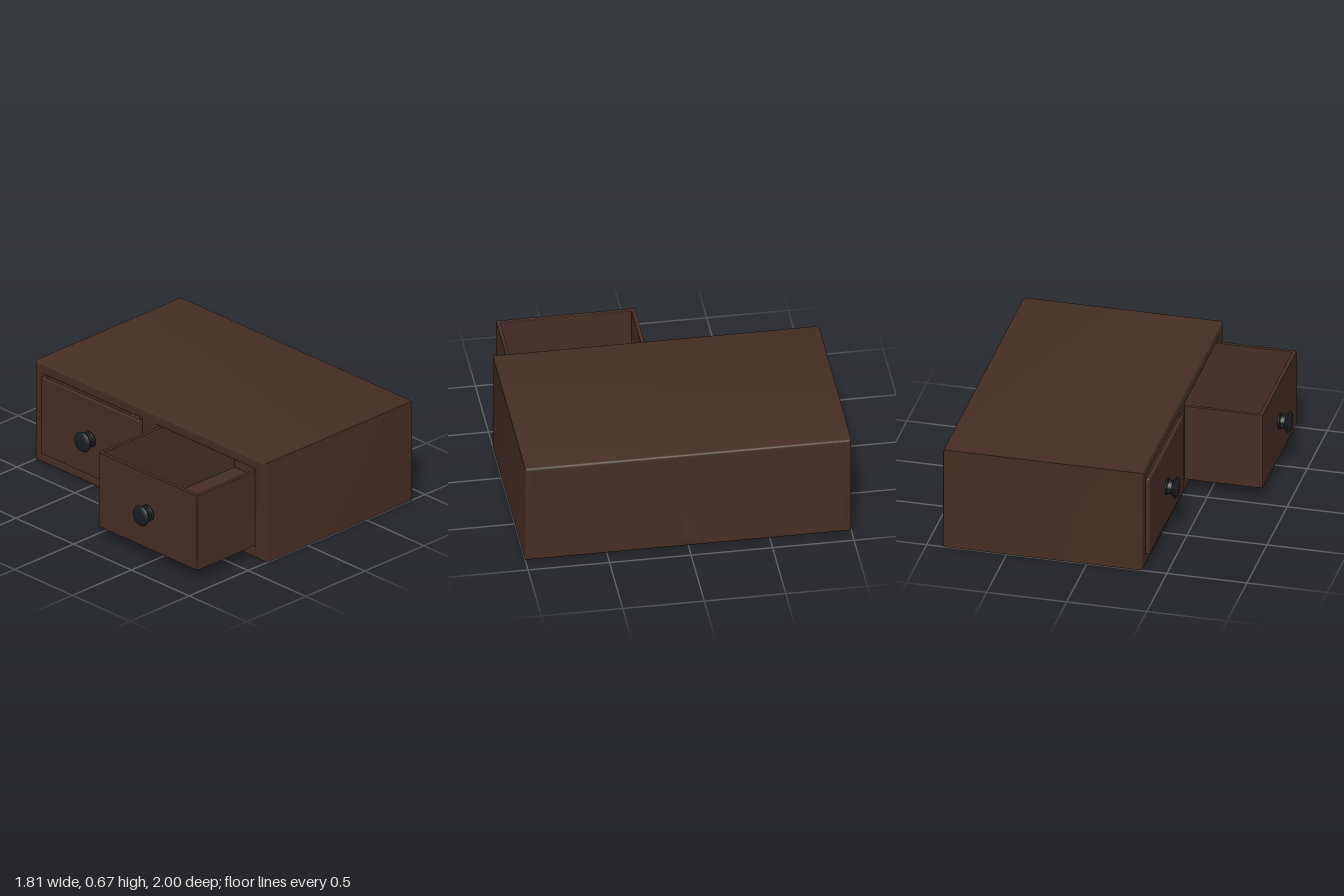
import * as THREE from 'three';
import { toCreasedNormals } from 'three/addons/utils/BufferGeometryUtils.js';
import { RoundedBoxGeometry } from 'three/addons/geometries/RoundedBoxGeometry.js';

const wood = new THREE.MeshStandardMaterial({ color: 0x452e24 });
wood.name = 'dark wood';
const iron = new THREE.MeshStandardMaterial({ color: 0x1c2023 });
iron.name = 'black iron';

const FRONT = -0.35, BACK = 0.9, HEIGHT = 0.667, BEVEL = 0.015;

// Box given by its minimum and maximum corners, with optional rounded edges
function block(name, min, max, radius = 0) {
  const size = max.map((v, i) => v - min[i]);
  const geometry = radius
    ? new RoundedBoxGeometry(...size, 2, radius)
    : new THREE.BoxGeometry(...size);
  const mesh = new THREE.Mesh(geometry, wood);
  mesh.position.set(...max.map((v, i) => (v + min[i]) / 2));
  mesh.name = name;
  return mesh;
}

// Rectangle traced between two corners
function rectangle(target, u0, v0, u1, v1) {
  target.moveTo(u0, v0);
  target.lineTo(u1, v0);
  target.lineTo(u1, v1);
  target.lineTo(u0, v1);
  target.closePath();
  return target;
}

// Hollow body with two drawer openings facing -x
function createCabinet() {
  const group = new THREE.Group();
  group.name = 'cabinet';
  const shape = rectangle(new THREE.Shape(), -1 + BEVEL, BEVEL, 1 - BEVEL, HEIGHT - BEVEL);
  for (const [z0, z1] of [[-0.935, -0.065], [0.04, 0.91]]) {
    shape.holes.push(rectangle(new THREE.Path(), -z1 - 0.003, 0.05, -z0 + 0.003, 0.61));
  }
  const geometry = new THREE.ExtrudeGeometry(shape, {
    depth: BACK - FRONT - 2 * BEVEL, bevelEnabled: true,
    bevelSize: BEVEL, bevelThickness: BEVEL, bevelSegments: 3,
  });
  geometry.translate(0, 0, FRONT + BEVEL);
  geometry.rotateY(Math.PI / 2);
  const body = new THREE.Mesh(toCreasedNormals(geometry, 0.6), wood);
  body.name = 'body';
  group.add(body, block('backPanel', [BACK - 0.03, 0.03, -0.97], [BACK, 0.64, 0.97]));
  return group;
}

// Turned knob pointing to -x from a drawer front
function createKnob(x, y, z) {
  const profile = [
    [0, 0], [0.053, 0], [0.053, 0.006], [0.044, 0.012], [0.042, 0.038],
    [0.055, 0.044], [0.063, 0.052], [0.066, 0.06], [0.06, 0.068],
    [0.042, 0.073], [0, 0.076],
  ].map(([r, h]) => new THREE.Vector2(r, h));
  const geometry = toCreasedNormals(new THREE.LatheGeometry(profile, 32), 0.7);
  geometry.rotateZ(Math.PI / 2);
  const knob = new THREE.Mesh(geometry, iron);
  knob.position.set(x, y, z);
  knob.name = 'knob';
  return knob;
}

// Open-topped drawer box with its front at x
function createDrawer(name, x, y0, y1, z0, z1, radius) {
  const group = new THREE.Group();
  group.name = name;
  const t = 0.022, end = x + 1.15;
  group.add(
    block('drawerFront', [x, y0, z0], [x + 0.025, y1, z1], radius),
    block('drawerSideRight', [x + 0.02, y0, z0], [end, y1, z0 + t]),
    block('drawerSideLeft', [x + 0.02, y0, z1 - t], [end, y1, z1]),
    block('drawerRear', [end - t, y0, z0 + t], [end, y1, z1 - t]),
    block('drawerFloor', [x + 0.015, y0, z0 + t], [end - t, y0 + t, z1 - t]),
    createKnob(x, 0.32, (z0 + z1) / 2),
  );
  return group;
}

export function createModel() {
  const model = new THREE.Group();
  model.name = 'drawerCabinet';
  model.add(
    createCabinet(),
    createDrawer('closedDrawer', -0.375, 0.073, 0.59, -0.925, -0.075, 0.008),
    createDrawer('openDrawer', -0.835, 0.08, 0.58, 0.05, 0.9, 0.003),
  );
  return model;
}
